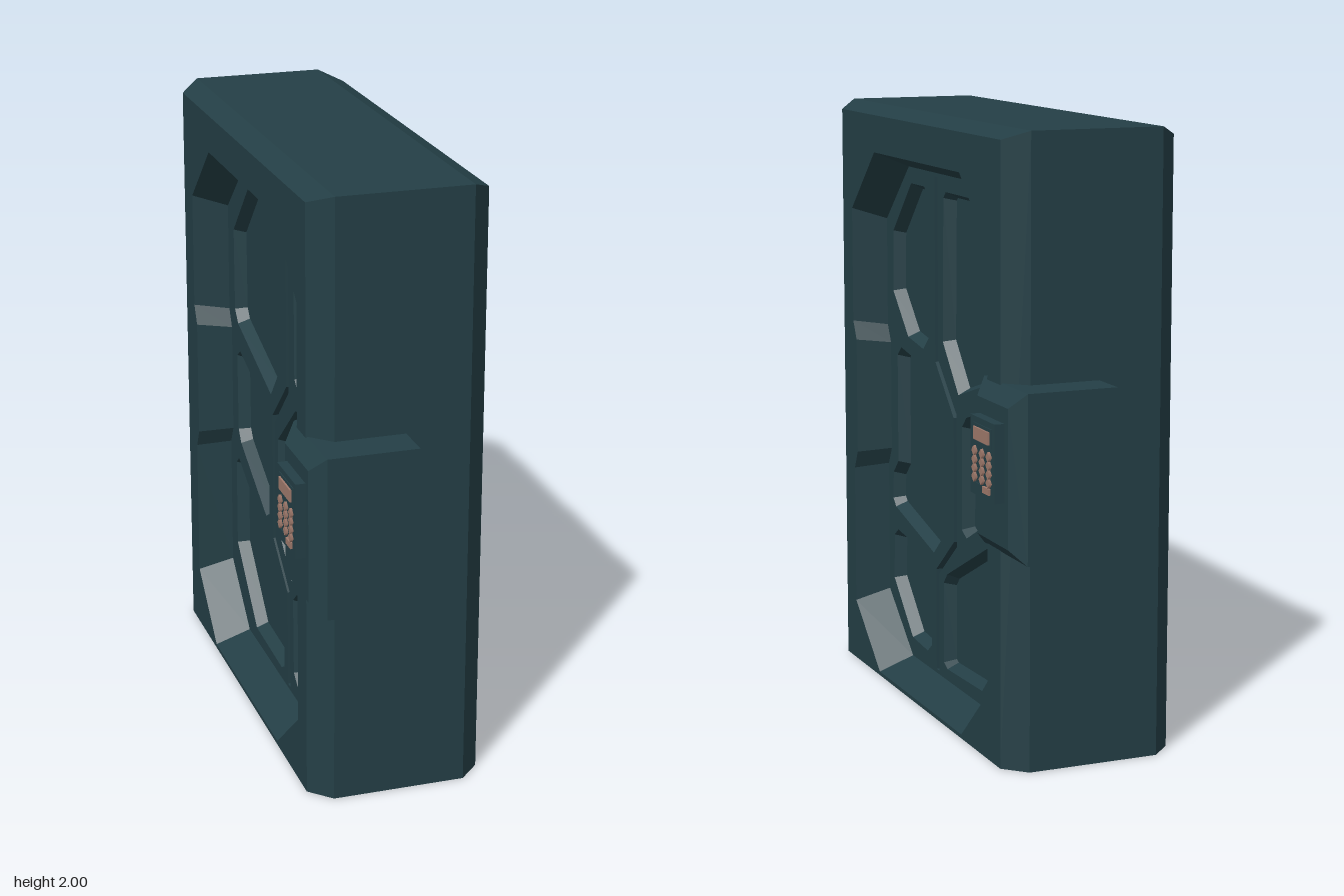
import * as THREE from 'three';
import { ConvexGeometry } from 'three/addons/geometries/ConvexGeometry.js';

const steel = new THREE.MeshStandardMaterial({ color: 0x243f46 });
steel.name = 'dark teal steel';
const copper = new THREE.MeshStandardMaterial({ color: 0xa07a6c });
copper.name = 'dusty copper';

// Half widths and depths, measured outward from the middle of the door
const FACE = 0.29, PLATE = 0.17, FLOOR = 0.13;

// Panel drawing units to model units (u across, y up)
const S = 188.5;
const plan = (pts, side) => {
  const out = pts.map(([x, y]) => new THREE.Vector2(side * (x - 686.5) / S, (412.5 - y) / S));
  return THREE.ShapeUtils.isClockWise(out) ? out.reverse() : out;
};

const FRAME = [[613, 65], [758, 65], [801, 105], [801, 180], [795, 192], [795, 268], [801, 280], [801, 372],
  [759, 410], [615, 410], [570, 372], [570, 280], [576, 268], [576, 192], [570, 180], [570, 105]];
const FRAME_INNER = FRAME.map(([x, y]) => [685.5 + (x - 685.5) * 0.957, 237.5 + (y - 237.5) * 0.945]);
const GROOVE = [[661, 77], [661, 195], [692, 226], [692, 306], [661, 331], [661, 398],
  [666, 398], [666, 333], [697, 308], [697, 223], [666, 193], [666, 77]];
const CELLS = [
  [[620, 85], [643, 85], [650, 92], [649, 182], [640, 190], [613, 186], [586, 159], [587, 119]],
  [[676, 89], [680, 85], [745, 85], [783, 125], [782, 179], [775, 187], [700, 210], [674, 180]],
  [[593, 201], [600, 195], [647, 202], [685, 235], [685, 297], [657, 321], [588, 305], [583, 300], [584, 282], [593, 273]],
  [[706, 229], [713, 222], [771, 205], [778, 210], [777, 262], [771, 270], [713, 299], [705, 295]],
  [[585, 325], [592, 320], [646, 326], [654, 333], [653, 384], [645, 390], [618, 388], [584, 355]],
  [[674, 337], [680, 330], [777, 283], [783, 288], [783, 347], [738, 391], [680, 393], [674, 390]],
];

function add(parent, name, geometry, material = steel) {
  const mesh = new THREE.Mesh(geometry, material);
  mesh.name = name;
  parent.add(mesh);
  return mesh;
}

// Moves every edge of a counter-clockwise outline inward by d
function inset(pts, d) {
  const n = pts.length;
  return pts.map((p, i) => {
    const a = p.clone().sub(pts[(i + n - 1) % n]).normalize();
    const b = pts[(i + 1) % n].clone().sub(p).normalize();
    const k = d / (1 + a.dot(b));
    return new THREE.Vector2(p.x - (a.y + b.y) * k, p.y + (a.x + b.x) * k);
  });
}

// Sloping wall between two outlines at different depths
function wall(outer, inner, z0, z1) {
  const v = [];
  outer.forEach((o, i) => {
    const j = (i + 1) % outer.length, p = outer[j], q = inner[j], r = inner[i];
    v.push(o.x, o.y, z0, p.x, p.y, z0, q.x, q.y, z1, o.x, o.y, z0, q.x, q.y, z1, r.x, r.y, z1);
  });
  const g = new THREE.BufferGeometry();
  g.setAttribute('position', new THREE.Float32BufferAttribute(v, 3));
  g.computeVertexNormals();
  return g;
}

function sheet(outline, holes, z) {
  const shape = new THREE.Shape(outline);
  holes.forEach((h) => shape.holes.push(new THREE.Path(h)));
  return new THREE.ShapeGeometry(shape).translate(0, 0, z);
}

// Chamfered slab, open on its two broad faces
function bodyGeometry() {
  const pts = [];
  for (const sx of [-1, 1]) for (const sz of [-1, 1]) {
    for (const [x, z, top] of [[0.22, 0.78, 2], [FACE, 0.71, 1.97]]) {
      pts.push(new THREE.Vector3(sx * x, 0, sz * z), new THREE.Vector3(sx * x, top, sz * z));
    }
  }
  const p = new ConvexGeometry(pts).getAttribute('position').array;
  const keep = [];
  for (let i = 0; i < p.length; i += 9) {
    const onFace = [0, 3, 6].every((k) => Math.abs(p[i + k]) > FACE - 0.001);
    if (!onFace) keep.push(...p.slice(i, i + 9));
  }
  const g = new THREE.BufferGeometry();
  g.setAttribute('position', new THREE.Float32BufferAttribute(keep, 3));
  g.computeVertexNormals();
  return g;
}

// Recessed broad face with six sunken cells and a dividing groove
function sidePanel(side) {
  const g = new THREE.Group();
  g.name = side > 0 ? 'leftPanel' : 'rightPanel';
  const border = [[-0.71, 0], [0.71, 0], [0.71, 1.97], [-0.71, 1.97]].map(([x, y]) => new THREE.Vector2(x, y));
  const outer = plan(FRAME, side), inner = plan(FRAME_INNER, side);
  const groove = plan(GROOVE, side), cells = CELLS.map((c) => plan(c, side));
  add(g, 'panelBorder', sheet(border, [outer], FACE));
  add(g, 'recessBevel', wall(outer, inner, FACE, PLATE));
  add(g, 'panelPlate', sheet(inner, [groove, ...cells], PLATE));
  add(g, 'panelFloor', sheet(inner, [], FLOOR));
  add(g, 'grooveWall', wall(groove, groove, PLATE, FLOOR));
  cells.forEach((c) => add(g, 'cellBevel', wall(c, inset(c, 0.02), PLATE, FLOOR)));
  g.rotation.y = side * Math.PI / 2;
  return g;
}

// Lock housing wrapped round one edge, with its keypad
function lockBox(name) {
  const g = new THREE.Group();
  g.name = name;
  const pts = [];
  // depth, u range, y range
  for (const [d, u0, u1, y0, y1] of [[-0.01, 0.54, 0.91, 0.7, 1.23], [0.21, 0.54, 0.91, 0.7, 1.23],
    [0.285, 0.57, 0.91, 0.7, 1.23], [0.33, 0.622, 0.862, 0.745, 1.18]]) {
    for (const u of [u0, u1]) for (const y of [y0, y1]) pts.push(new THREE.Vector3(u, y, d));
  }
  add(g, 'lockHousing', new ConvexGeometry(pts));

  const box = (label, u, y, w, h, z0, z1, mat) =>
    add(g, label, new THREE.BoxGeometry(w, h, z1 - z0).translate(u, y, (z0 + z1) / 2), mat);
  box('keypad', 0.74, 1.007, 0.19, 0.245, 0.325, 0.362);
  box('screenBezel', 0.745, 1.08, 0.14, 0.06, 0.36, 0.365);
  box('screen', 0.745, 1.08, 0.117, 0.04, 0.364, 0.371, copper);
  box('cardSlot', 0.705, 0.915, 0.058, 0.02, 0.36, 0.366);
  box('enterKey', 0.779, 0.915, 0.05, 0.02, 0.361, 0.37, copper);
  for (const u of [0.687, 0.745, 0.799]) {
    for (let row = 0; row < 4; row++) {
      const key = new THREE.CylinderGeometry(0.016, 0.016, 0.009, 4).rotateX(Math.PI / 2);
      add(g, 'key', key.translate(u, 1.023 - row * 0.027, 0.366), copper);
    }
  }
  g.rotation.y = Math.PI / 2;
  return g;
}

export function createModel() {
  const model = new THREE.Group();
  model.name = 'securityDoor';
  const door = new THREE.Group();
  door.name = 'door';
  door.position.x = -0.01;
  model.add(door);

  add(door, 'doorBody', bodyGeometry());
  door.add(sidePanel(1), sidePanel(-1));

  // Two lock boxes, half a turn apart
  const front = lockBox('frontLockBox');
  front.rotation.y = -Math.PI / 2;
  door.add(lockBox('backLockBox'), front);
  return model;
}
